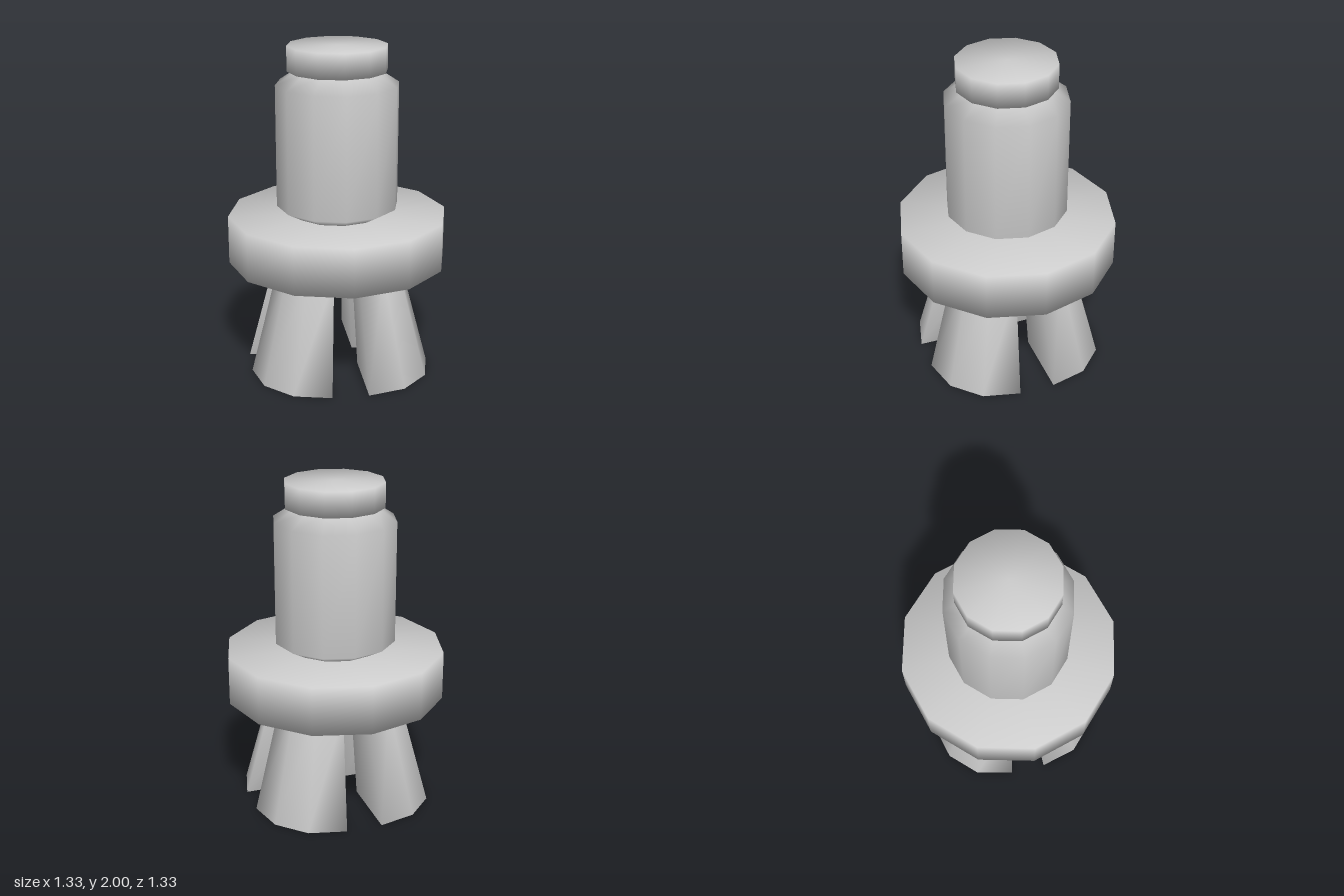
import * as THREE from 'three';

const SIDES = 12;

// Closed solid through a stack of rings (bottom to top) with shared, smooth vertices.
function loft(rings) {
  const n = rings[0].length;
  const pos = rings.flat(2);
  const index = [];
  for (let r = 0; r < rings.length - 1; r++) {
    for (let i = 0; i < n; i++) {
      const a = r * n + i, b = r * n + (i + 1) % n;
      index.push(a, b, b + n, a, b + n, a + n);
    }
  }
  // End caps around the middle of the first and last ring
  const last = rings.length - 1;
  for (const r of [0, last]) {
    const c = pos.length / 3;
    for (let k = 0; k < 3; k++) pos.push(rings[r].reduce((s, p) => s + p[k], 0) / n);
    for (let i = 0; i < n; i++) {
      const a = r * n + i, b = r * n + (i + 1) % n;
      if (r === 0) index.push(c, b, a);
      else index.push(c, a, b);
    }
  }
  const g = new THREE.BufferGeometry();
  g.setAttribute('position', new THREE.Float32BufferAttribute(pos, 3));
  g.setIndex(index);
  g.computeVertexNormals();
  return g;
}

// Twelve-sided ring
function ring(radius, y) {
  return Array.from({ length: SIDES }, (_, i) => {
    const a = (i / SIDES) * Math.PI * 2;
    return [Math.sin(a) * radius, y, Math.cos(a) * radius];
  });
}

export function createModel() {
  const group = new THREE.Group();
  const material = new THREE.MeshStandardMaterial({ color: 0xcccccc });
  const add = (name, geometry) => {
    const mesh = new THREE.Mesh(geometry, material);
    mesh.name = name;
    group.add(mesh);
    return mesh;
  };
  const turned = (name, profile) => add(name, loft(profile.map(([r, y]) => ring(r, y))));

  // Wide disc, bottle-like body and cap
  turned('flange', [[0.667, 0.68], [0.667, 0.975]]);
  turned('body', [[0.265, 0.972], [0.37, 1.03], [0.37, 1.77], [0.245, 1.852]]);
  turned('cap', [[0.3, 1.85], [0.3, 2]]);

  // Four flaring legs, each a quarter-round wedge with its corner facing the axis
  const section = [[0.11, 0.55], [0.335, 0.495], [0.495, 0.335], [0.55, 0.11], [0.11, 0.11]];
  const legRing = (scale, y) => section.map(([x, z]) => [x * scale, y, z * scale]);
  const legGeometry = loft([legRing(1, 0), legRing(0.68, 0.682)]);
  for (let i = 0; i < 4; i++) {
    add('leg' + (i + 1), legGeometry).rotation.y = (i * Math.PI) / 2;
  }

  return group;
}
